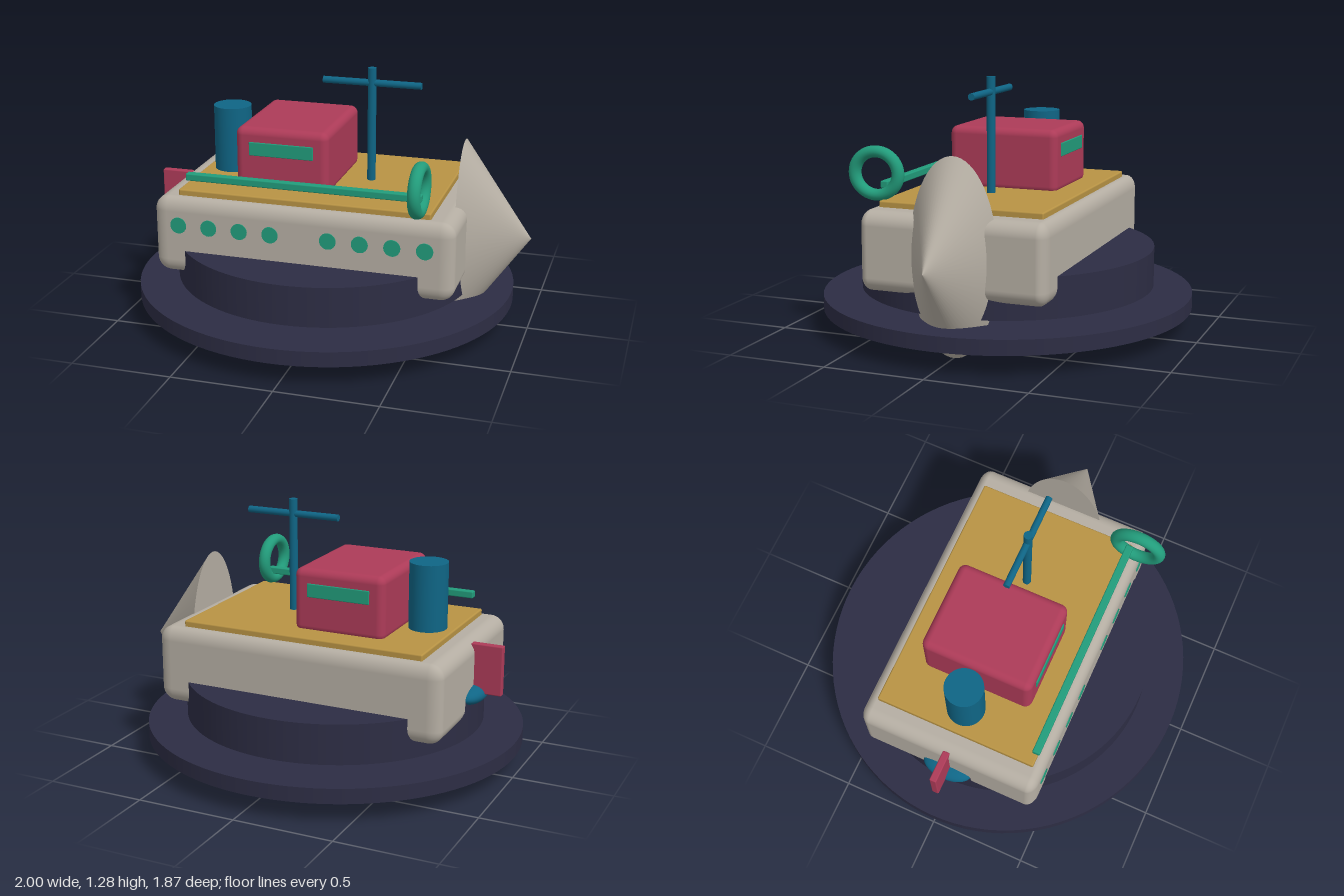
import * as THREE from 'three';
import { RoundedBoxGeometry } from 'three/addons/geometries/RoundedBoxGeometry.js';

const mat = (name, color) => new THREE.MeshStandardMaterial({ name, color });

export function createModel() {
  const model = new THREE.Group();
  model.name = 'toyBoat';
  const stone = mat('warmGrey', 0xb5aea3);
  const navy = mat('darkNavy', 0x2d2d44);
  const red = mat('raspberry', 0xad3b58);
  const gold = mat('deckGold', 0xb89344);
  const blue = mat('deepTeal', 0x0f6585);
  const green = mat('seaGreen', 0x229c7b);

  const add = (name, geometry, material, x, y, z) => {
    const mesh = new THREE.Mesh(geometry, material);
    mesh.name = name;
    mesh.position.set(x, y, z);
    model.add(mesh);
    return mesh;
  };
  // Box given by its limits along x, y and z
  const box = (name, material, [x0, x1], [y0, y1], [z0, z1], r) =>
    add(name, new RoundedBoxGeometry(x1 - x0, y1 - y0, z1 - z0, 4, r), material,
      (x0 + x1) / 2, (y0 + y1) / 2, (z0 + z1) / 2);

  // Round base: wide disc with a narrower drum above it, both slightly oval
  const disc = (name, r, y0, y1) => {
    const g = new THREE.CylinderGeometry(r, r, y1 - y0, 96);
    g.scale(1.023, 1, 1);
    add(name, g, navy, -0.045, (y0 + y1) / 2, 0);
  };
  disc('baseDisc', 0.935, 0.105, 0.18);
  disc('baseDrum', 0.74, 0.21, 0.41);

  // Hull with softer corners lengthwise than across
  const hull = new RoundedBoxGeometry(1.5, 0.39, 1.34, 6, 0.07);
  hull.scale(1, 1, 0.7);
  add('hull', hull, stone, -0.04, 0.485, 0);

  // Tall flattened cone at the bow
  const bow = new THREE.ConeGeometry(1, 0.34, 64);
  bow.rotateZ(-Math.PI / 2);
  bow.scale(1, 0.478, 0.222);
  add('bowCone', bow, stone, 0.828, 0.48, 0);

  // Deck and cabin
  box('deck', gold, [-0.675, 0.585], [0.67, 0.71], [-0.415, 0.415], 0.008);
  box('cabin', red, [-0.425, 0.045], [0.69, 1.01], [-0.285, 0.285], 0.038);
  for (const s of [1, -1]) {
    add(s > 0 ? 'cabinWindowLeft' : 'cabinWindowRight',
      new RoundedBoxGeometry(0.325, 0.068, 0.009, 2, 0.004), green, -0.19, 0.907, s * 0.286);
  }

  // Funnel, mast and yard
  add('funnel', new THREE.CylinderGeometry(0.095, 0.095, 0.34, 40), blue, -0.54, 0.87, 0);
  add('mast', new THREE.CylinderGeometry(0.021, 0.021, 0.58, 20), blue, 0.188, 0.99, 0);
  const yard = new THREE.CylinderGeometry(0.017, 0.017, 0.495, 20);
  yard.rotateZ(Math.PI / 2);
  add('yard', yard, blue, 0.188, 1.205, 0);

  // Rail on one side, ending in a life ring
  box('rail', green, [-0.63, 0.54], [0.762, 0.798], [0.39, 0.428], 0.006);
  const ring = new THREE.TorusGeometry(0.114, 0.031, 20, 48);
  ring.rotateY(Math.PI / 2);
  ring.scale(1, 0.92, 1);
  add('lifeRing', ring, green, 0.535, 0.833, 0.45);

  // Rudder and propeller hub at the stern
  box('rudder', red, [-0.93, -0.77], [0.415, 0.665], [-0.018, 0.018], 0.006);
  const propeller = new THREE.SphereGeometry(1, 28, 18);
  propeller.scale(0.07, 0.047, 0.13);
  add('propeller', propeller, blue, -0.78, 0.41, 0);

  // Portholes in two groups of four along the front side
  for (const start of [-0.66, 0.1]) {
    for (let i = 0; i < 4; i++) {
      const hole = new THREE.CylinderGeometry(0.041, 0.041, 0.008, 24);
      hole.rotateX(Math.PI / 2);
      add('porthole', hole, green, start + i * 0.157, 0.542, 0.469);
    }
  }
  return model;
}
